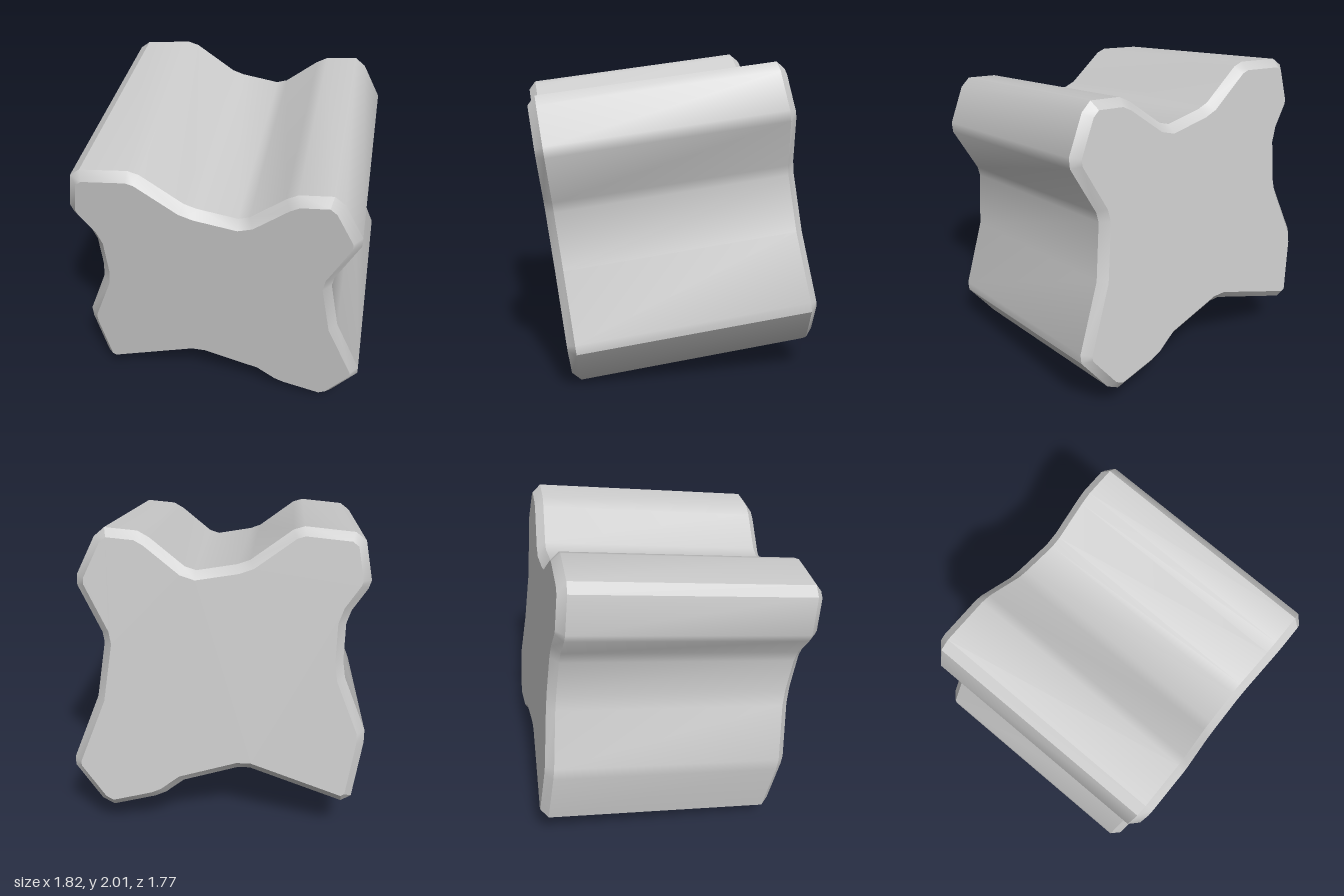
import * as THREE from 'three';
import { toCreasedNormals } from 'three/addons/utils/BufferGeometryUtils.js';

const HALF = 0.78;   // half length along the axis, bevels included
const BEVEL = 0.05;
const TILT = 0.131;  // the back end is raised

// Irregular four-lobed cross-section, clockwise from the upper left lobe
const SECTION = [
  [-0.79, 0.894], [-0.5, 0.92], [-0.435, 0.9],
  [-0.19, 0.718], [-0.117, 0.691], [0.127, 0.648], [0.196, 0.67],
  [0.403, 0.835], [0.472, 0.873], [0.668, 0.889], [0.731, 0.835], [0.843, 0.605], [0.843, 0.541],
  [0.7, 0.252], [0.689, 0.188], [0.742, -0.165],
  [0.905, -0.582], [0.905, -0.64], [0.737, -0.87], [0.662, -0.91], [0.392, -0.838], [0.323, -0.806],
  [0.207, -0.715], [-0.138, -0.608], [-0.212, -0.608],
  [-0.79, -0.806], [-0.853, -0.769], [-0.911, -0.4], [-0.911, -0.32],
  [-0.774, 0.017], [-0.758, 0.124], [-0.763, 0.354], [-0.79, 0.434],
  [-0.88, 0.568], [-0.896, 0.616], [-0.853, 0.846],
];

export function createModel() {
  const group = new THREE.Group();

  // Lobed block with a chamfer around both end faces
  const shape = new THREE.Shape(SECTION.map(([x, y]) => new THREE.Vector2(x, y)));
  const extruded = new THREE.ExtrudeGeometry(shape, {
    depth: 2 * (HALF - BEVEL),
    bevelEnabled: true,
    bevelThickness: BEVEL,
    bevelSize: BEVEL,
    bevelOffset: -BEVEL,
    bevelSegments: 1,
  });
  extruded.translate(0, 0, -(HALF - BEVEL));

  const block = new THREE.Mesh(
    toCreasedNormals(extruded, 0.55),
    new THREE.MeshStandardMaterial({ color: 0xcccccc }),
  );
  block.name = 'lobedBlock';
  block.rotation.x = TILT;
  block.position.y = 1;
  group.add(block);

  return group;
}
